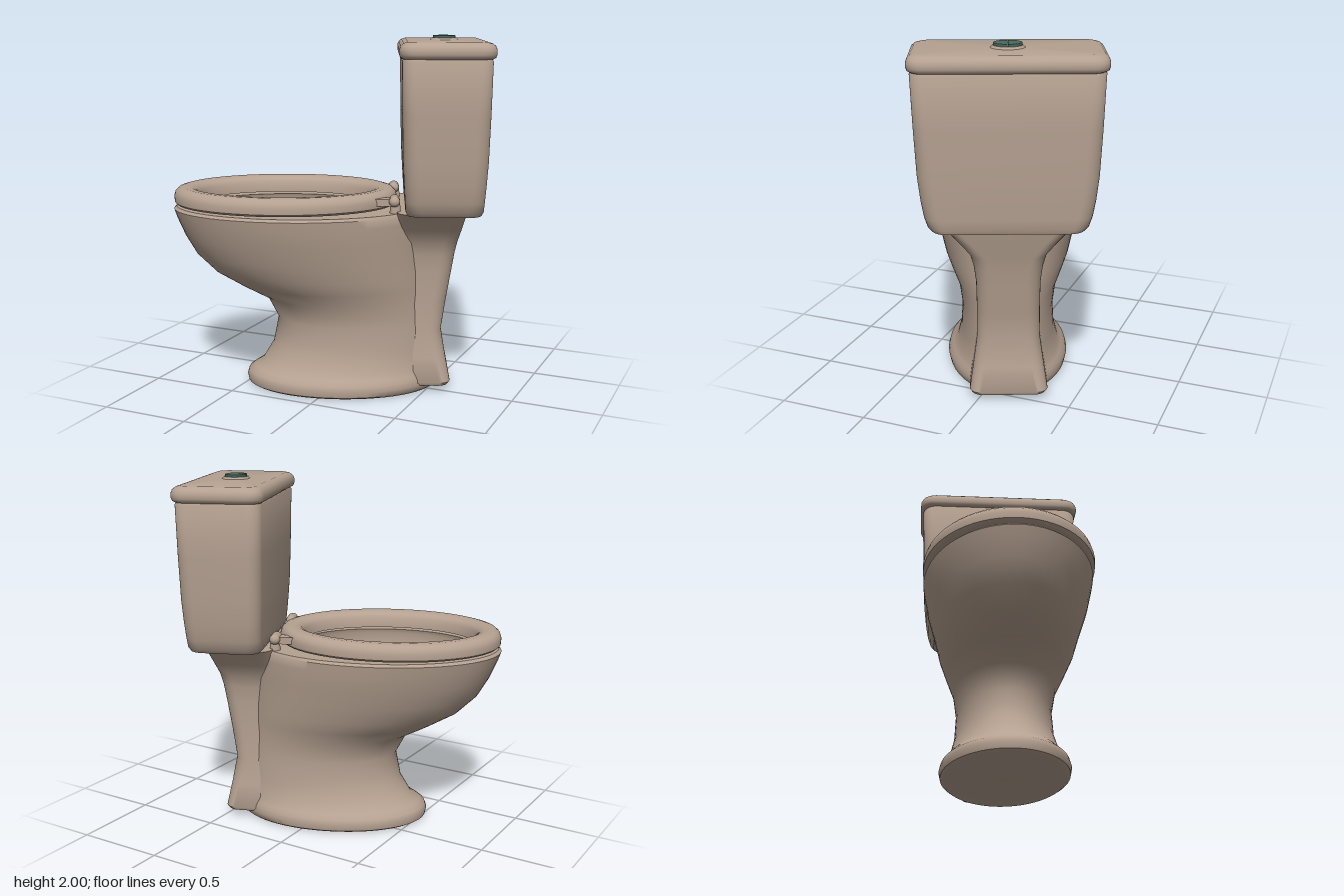
import * as THREE from 'three';
import { toCreasedNormals } from 'three/addons/utils/BufferGeometryUtils.js';

const ceramic = new THREE.MeshStandardMaterial({ color: 0xb5a191 });
ceramic.name = 'ceramic';
const green = new THREE.MeshStandardMaterial({ color: 0x48695f });
green.name = 'green';

// Oval outline: half width b (x), half length a (z), centred at z = c
function oval(y, c, a, b, count = 64) {
  return Array.from({ length: count }, (_, i) => {
    const t = (i / count) * Math.PI * 2;
    return [b * Math.sin(t), y, c + a * Math.cos(t)];
  });
}

// Rounded rectangle outline: half width w, from z = back to z = front
function roundRect(y, w, back, front, r, steps = 7) {
  const c = (back + front) / 2, d = (front - back) / 2, pts = [];
  [[1, 1], [1, -1], [-1, -1], [-1, 1]].forEach(([sx, sz], q) => {
    for (let i = 0; i <= steps; i++) {
      const t = (q + i / steps) * Math.PI / 2;
      pts.push([sx * (w - r) + r * Math.sin(t), y, c + sz * (d - r) + r * Math.cos(t)]);
    }
  });
  return pts;
}

// Skin a series of outlines; caps close the ends, ring joins last to first
function loft(rings, { bottom = true, top = true, ring = false, crease = 0.75 } = {}) {
  const n = rings[0].length, pos = rings.flat(2), index = [];
  const spans = ring ? rings.length : rings.length - 1;
  for (let k = 0; k < spans; k++) {
    const lo = k * n, hi = ((k + 1) % rings.length) * n;
    for (let j = 0; j < n; j++) {
      const m = (j + 1) % n;
      index.push(lo + j, lo + m, hi + j, lo + m, hi + m, hi + j);
    }
  }
  const cap = (k, up) => {
    const centre = pos.length / 3, sum = [0, 0, 0];
    rings[k].forEach((p) => p.forEach((v, i) => { sum[i] += v / n; }));
    pos.push(...sum);
    for (let j = 0; j < n; j++) {
      const p = k * n + j, q = k * n + (j + 1) % n;
      index.push(centre, up ? p : q, up ? q : p);
    }
  };
  if (!ring && bottom) cap(0, false);
  if (!ring && top) cap(rings.length - 1, true);
  const g = new THREE.BufferGeometry();
  g.setAttribute('position', new THREE.Float32BufferAttribute(pos, 3));
  g.setIndex(index);
  return toCreasedNormals(g, crease);
}

export function createModel() {
  const model = new THREE.Group();
  model.name = 'toilet';
  model.rotation.y = -67.7 * Math.PI / 180;
  const body = new THREE.Group();
  body.name = 'toiletBody';
  body.position.x = 0.055;
  model.add(body);

  const add = (name, geometry, material = ceramic, x = 0, y = 0, z = 0) => {
    const mesh = new THREE.Mesh(geometry, material);
    mesh.name = name;
    mesh.position.set(x, y, z);
    body.add(mesh);
    return mesh;
  };

  // Bowl outside: height, back z, half length, half width
  const outside = [
    [0, -0.50, 0.53, 0.33], [0.012, -0.515, 0.547, 0.348], [0.045, -0.522, 0.554, 0.355],
    [0.075, -0.52, 0.548, 0.347], [0.1, -0.518, 0.53, 0.325], [0.13, -0.515, 0.505, 0.3],
    [0.24, -0.51, 0.47, 0.273], [0.39, -0.5, 0.45, 0.264], [0.51, -0.48, 0.471, 0.284],
    [0.59, -0.47, 0.545, 0.328], [0.67, -0.46, 0.611, 0.368], [0.77, -0.45, 0.658, 0.398],
    [0.88, -0.44, 0.685, 0.435], [0.98, -0.435, 0.704, 0.457], [1.03, -0.43, 0.71, 0.466],
    [1.045, -0.42, 0.697, 0.453],
  ].map(([y, back, a, b]) => oval(y, back + a, a, b));
  // Bowl inside, from the rim down: height, centre z, half length, half width
  const inside = [
    [1.045, 0.346, 0.505, 0.348], [1.02, 0.346, 0.515, 0.358], [0.95, 0.335, 0.505, 0.35],
    [0.8, 0.29, 0.455, 0.318], [0.66, 0.241, 0.385, 0.266], [0.6, 0.22, 0.28, 0.2],
  ].map((s) => oval(...s));
  add('bowl', loft([...outside, ...inside]));
  add('water', loft([oval(0.66, 0.241, 0.384, 0.265), oval(0.665, 0.241, 0.386, 0.267)]), green);

  // Seat ring: height, half length, half width
  add('seat', loft([
    [1.06, 0.618, 0.456], [1.072, 0.631, 0.469], [1.105, 0.633, 0.471], [1.13, 0.625, 0.463],
    [1.147, 0.607, 0.446], [1.155, 0.58, 0.42], [1.152, 0.535, 0.377], [1.14, 0.51, 0.353],
    [1.115, 0.492, 0.336], [1.06, 0.49, 0.334],
  ].map(([y, a, b]) => oval(y, 0.353, a, b)), { ring: true }));

  // Rear pedestal: height, half width, back z, corner radius
  add('pedestal', loft([
    [0.04, 0.205, -0.578, 0.06], [0.06, 0.216, -0.589, 0.06], [0.2, 0.195, -0.562, 0.07],
    [0.35, 0.174, -0.537, 0.08], [0.52, 0.172, -0.562, 0.08], [0.7, 0.174, -0.592, 0.08],
    [0.8, 0.186, -0.607, 0.08], [0.87, 0.204, -0.622, 0.08], [0.95, 0.265, -0.64, 0.08],
    [1.055, 0.355, -0.66, 0.08],
  ].map(([y, w, back, r]) => roundRect(y, w, back, -0.28, r))));

  // Tank: height, half width, half depth
  const tankZ = -0.533;
  const box = (y, w, d, r) => roundRect(y, w, tankZ - d, tankZ + d, r);
  add('tank', loft([
    [1.05, 0.395, 0.2], [1.075, 0.415, 0.21], [1.13, 0.433, 0.213], [1.22, 0.448, 0.219],
    [1.35, 0.462, 0.226], [1.6, 0.474, 0.232], [1.875, 0.484, 0.236], [1.895, 0.474, 0.226],
  ].map(([y, w, d]) => box(y, w, d, 0.08))));

  // Tank lid with a rounded edge: height, inset
  add('tankLid', loft([
    [1.888, 0.018], [1.896, 0.006], [1.912, 0], [1.935, 0], [1.955, 0.008], [1.968, 0.023],
    [1.975, 0.045],
  ].map(([y, i]) => box(y, 0.5 - i, 0.253 - i, 0.085 - i * 0.5))));

  // Flush button: collar and two halves with a slit between them
  add('buttonCollar', new THREE.CylinderGeometry(0.068, 0.078, 0.012, 40), ceramic, 0, 1.981, tankZ).scale.x = 1.13;
  for (const side of [1, -1]) {
    const half = new THREE.Shape();
    half.absarc(0, 0, 0.058, -Math.PI / 2, Math.PI / 2, false);
    half.closePath();
    const g = new THREE.ExtrudeGeometry(half, {
      depth: 0.012, bevelThickness: 0.003, bevelSize: 0.003, bevelSegments: 2, curveSegments: 24,
    });
    g.rotateX(-Math.PI / 2);
    if (side < 0) g.rotateY(Math.PI);
    add('flushButtonHalf', g, green, side * 0.0045, 1.985, tankZ).scale.x = 1.13;
  }

  // Seat hinges: post, barrel and lug on each side
  for (const side of [1, -1]) {
    const x = side * 0.235;
    add('hingePost', new THREE.CylinderGeometry(0.024, 0.032, 0.08, 20), ceramic, x, 1.075, -0.27);
    const barrel = new THREE.CapsuleGeometry(0.03, 0.06, 6, 20);
    barrel.rotateZ(Math.PI / 2);
    add('hingeBarrel', barrel, ceramic, x, 1.112, -0.265);
    add('hingeLug', new THREE.BoxGeometry(0.06, 0.04, 0.12), ceramic, x, 1.105, -0.205);
  }
  return model;
}
